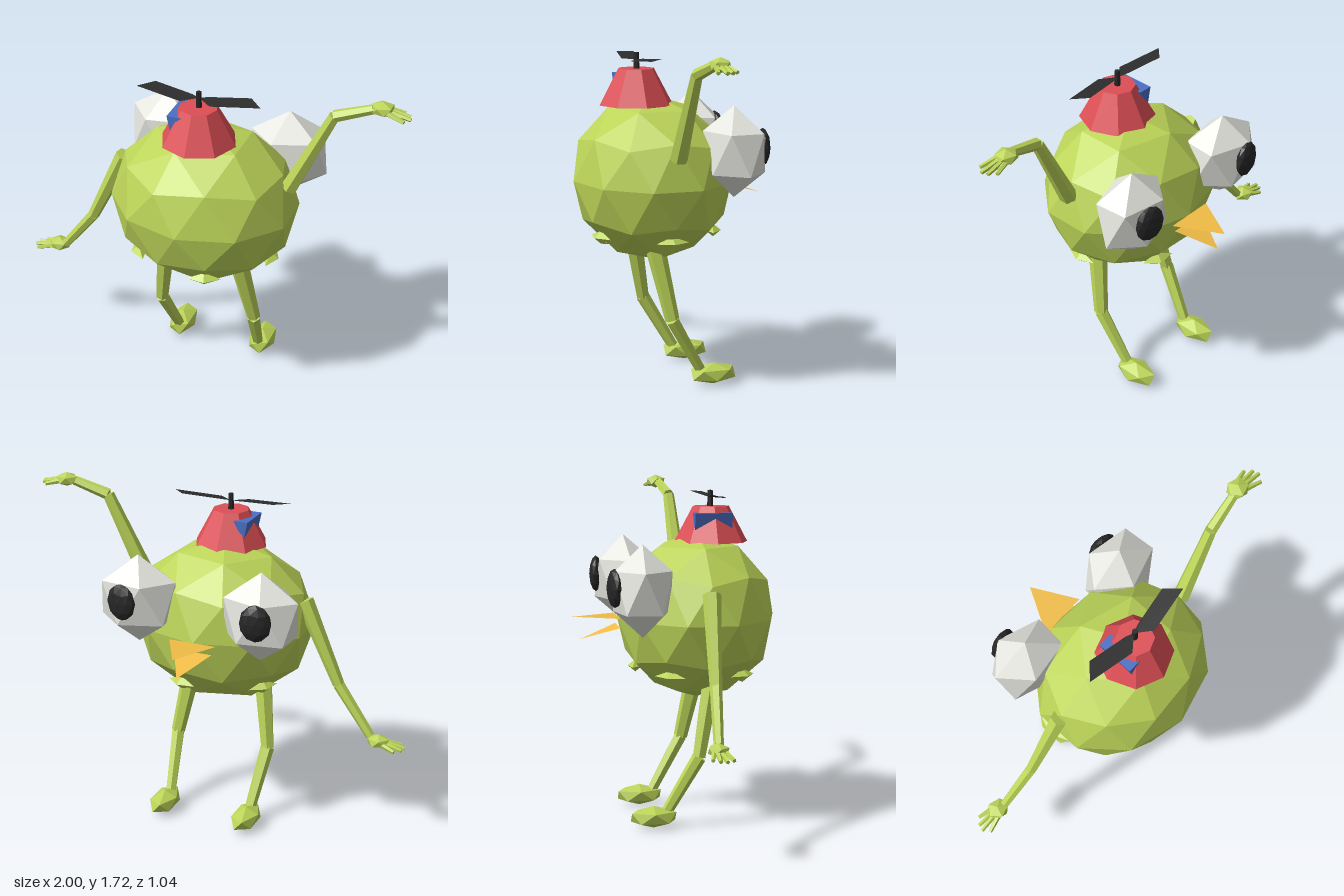
import * as THREE from 'three';

const mat = (color, side = THREE.FrontSide) =>
  new THREE.MeshStandardMaterial({ color, flatShading: true, side });
const V = (p) => new THREE.Vector3(...p);

export function createModel() {
  const model = new THREE.Group();
  const green = mat(0xbcd458), white = mat(0xe6e6e0), dark = mat(0x262626);
  const red = mat(0xdd4f55), blue = mat(0x4a6fc4);
  const yellow = mat(0xf0bc45, THREE.DoubleSide), blade = mat(0x2c2c2c, THREE.DoubleSide);

  function add(name, geometry, material, pos = [0, 0, 0], parent = model) {
    const mesh = new THREE.Mesh(geometry, material);
    mesh.name = name;
    mesh.position.set(...pos);
    parent.add(mesh);
    return mesh;
  }

  // Faceted ball with a vertex at the top, stretched along each axis
  const ball = (detail, sx, sy, sz) =>
    new THREE.IcosahedronGeometry(1, detail)
      .rotateX(-Math.atan((1 + Math.sqrt(5)) / 2))
      .rotateY(-Math.PI / 2)
      .scale(sx, sy, sz);

  // Six-sided tapered bar between two points
  function limb(name, a, b, ra, rb, parent = model, sides = 6) {
    const from = V(a), to = V(b), dir = to.clone().sub(from);
    const mesh = add(name, new THREE.CylinderGeometry(rb, ra, dir.length(), sides), green,
      from.clone().add(to).multiplyScalar(0.5).toArray(), parent);
    mesh.quaternion.setFromUnitVectors(new THREE.Vector3(0, 1, 0), dir.normalize());
    return mesh;
  }

  // Thin flat polygon, given as a fan of corners
  function sheet(name, points, material) {
    const g = new THREE.BufferGeometry().setFromPoints(points.map(V));
    const index = [];
    for (let i = 1; i < points.length - 1; i++) index.push(0, i, i + 1);
    g.setIndex(index);
    g.computeVertexNormals();
    return add(name, g, material);
  }

  // Body
  add('body', ball(1, 0.478, 0.42, 0.405), green, [0, 1.045, 0.11]);

  // Ring of small bumps round the lower body
  for (let i = 0; i < 5; i++) {
    const a = (i * Math.PI * 2) / 5;
    const bump = add('bump', new THREE.OctahedronGeometry(1).scale(0.04, 0.033, 0.085), green,
      [0.355 * Math.cos(a), 0.775, 0.11 - 0.31 * Math.sin(a)]);
    bump.rotation.y = a;
  }

  for (const s of [-1, 1]) {
    // Eyes
    const eye = add('eye', ball(0, 0.22, 0.228, 0.165), white, [s * 0.328, 1.21, -0.215]);
    eye.rotation.y = s * 0.08;
    const pupil = add('pupil', ball(1, 0.08, 0.095, 0.035), dark, [s * 0.355, 1.23, -0.355]);
    pupil.rotation.y = -s * 0.15;

    // Legs
    const leg = new THREE.Group();
    leg.name = s > 0 ? 'leftLeg' : 'rightLeg';
    model.add(leg);
    const knee = [s * 0.257, 0.36, 0.08];
    limb('thigh', [s * 0.2, 0.72, 0.15], knee, 0.05, 0.036, leg);
    limb('shin', knee, [s * 0.228, 0.07, -0.085], 0.036, 0.028, leg);
    add('foot', ball(0, 0.075, 0.056, 0.133), green, [s * 0.232, 0.057, -0.147], leg);
  }

  // Arms: one raised, one hanging
  const arms = [
    { name: 'leftArm', s: 1, shoulder: 1.2, elbow: [0.64, 1.625, 0.085], wrist: [0.82, 1.685, 0.06],
      hand: [0.86, 1.69, 0.05], tipY: 1.665 },
    { name: 'rightArm', s: -1, shoulder: 1.2, elbow: [-0.635, 0.785, 0.085], wrist: [-0.82, 0.545, 0.06],
      hand: [-0.865, 0.53, 0.05], tipY: 0.505 },
  ];
  for (const { name, s, shoulder, elbow, wrist, hand, tipY } of arms) {
    const arm = new THREE.Group();
    arm.name = name;
    model.add(arm);
    limb('upperArm', [s * 0.435, shoulder, 0.105], elbow, 0.045, 0.03, arm);
    limb('forearm', elbow, wrist, 0.03, 0.024, arm);
    add('hand', ball(0, 0.062, 0.036, 0.056), green, hand, arm);
    // Fingers, spread like a fan
    [[0.96, 0.005], [0.99, 0.035], [1.0, 0.065], [0.975, 0.1]].forEach(([x, z]) =>
      limb('finger', [hand[0], hand[1], 0.05 + (z - 0.05) * 0.4], [s * x, tipY, z], 0.016, 0.01, arm, 5));
  }

  // Beak: two thin triangular halves
  sheet('upperBeak', [[-0.125, 1.05, -0.295], [0.125, 1.05, -0.295], [0, 1.05, -0.525]], yellow);
  sheet('lowerBeak', [[-0.1, 1.0, -0.29], [0.1, 1.0, -0.29], [0, 0.935, -0.485]], yellow);

  // Cap
  add('cap', new THREE.CylinderGeometry(0.093, 0.19, 0.18, 8), red, [0, 1.51, 0.188]);

  // Wedge showing through the front and back of the cap
  const wedge = new THREE.Shape([[-0.13, 1.57], [-0.11, 1.475], [-0.055, 1.57]]
    .map((p) => new THREE.Vector2(...p)));
  add('capPatch', new THREE.ExtrudeGeometry(wedge, { depth: 0.19, bevelEnabled: false }), blue, [0, 0, 0.085]);

  // Propeller
  add('propellerHub', new THREE.CylinderGeometry(0.013, 0.016, 0.09, 8), dark, [0, 1.635, 0.185]);
  for (const s of [-1, 1]) {
    sheet('propellerBlade', [[0, 1.645, 0.18], [s * 0.04, 1.65, 0.165], [s * 0.245, 1.665, 0.13],
      [s * 0.315, 1.66, 0.2], [s * 0.075, 1.643, 0.24]], blade);
  }

  return model;
}
